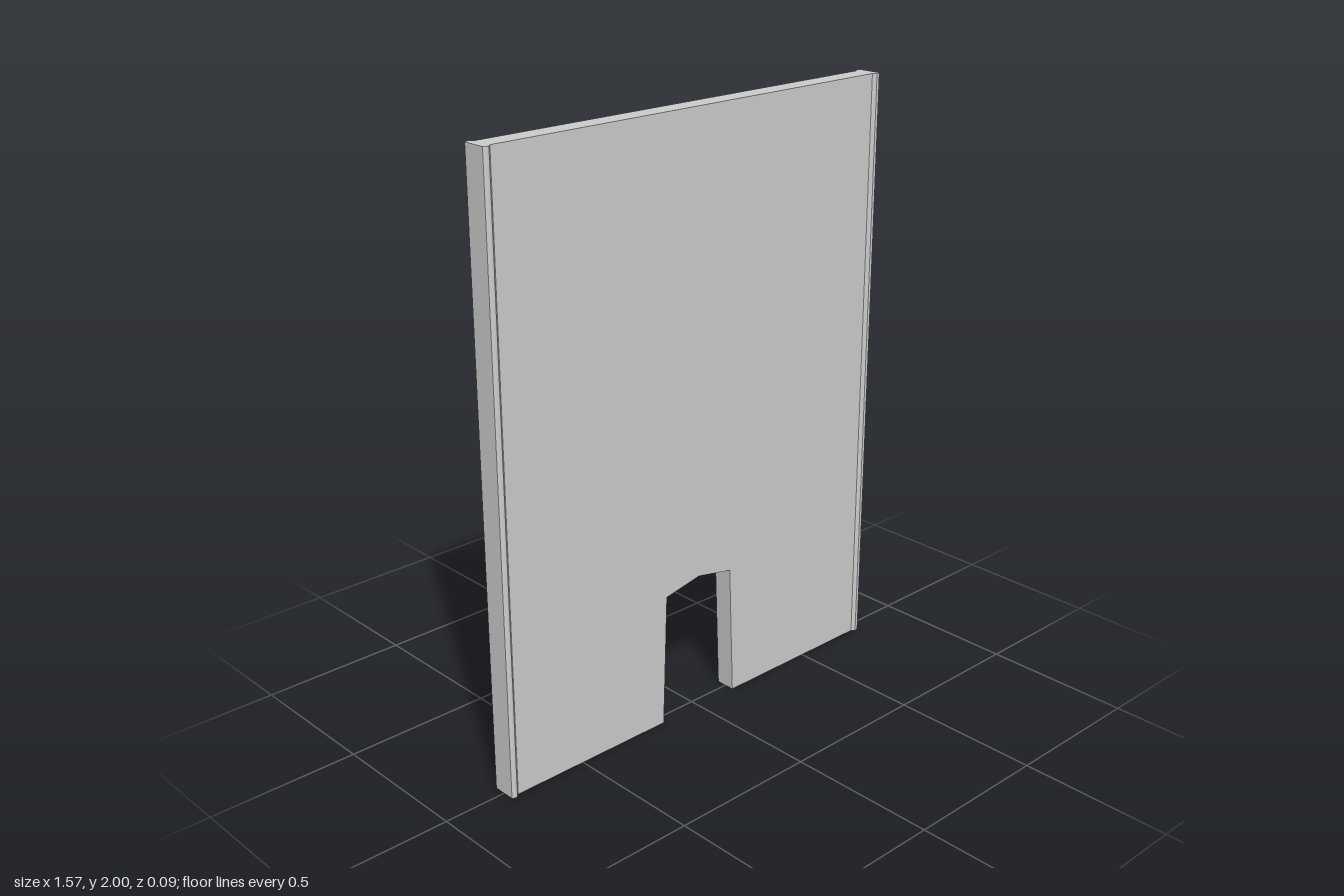
import * as THREE from 'three';

const HEIGHT = 2;
const PANEL_X = 0.757; // half width of the flat panel
const PANEL_Z = 0.034; // half thickness of the flat panel

const shapeFrom = (points) => new THREE.Shape(points.map(([x, y]) => new THREE.Vector2(x, y)));

export function createModel() {
  const group = new THREE.Group();
  const material = new THREE.MeshStandardMaterial({ color: 0xcccccc, flatShading: true });

  const add = (name, geometry) => {
    const mesh = new THREE.Mesh(geometry, material);
    mesh.name = name;
    group.add(mesh);
  };

  // Flat wall panel with a tapered, peaked doorway cut from its lower edge
  const outline = shapeFrom([
    [-PANEL_X, 0], [-0.157, 0], [-0.14, 0.453], [0, 0.48], [0.14, 0.453], [0.157, 0],
    [PANEL_X, 0], [PANEL_X, HEIGHT], [-PANEL_X, HEIGHT],
  ]);
  const panel = new THREE.ExtrudeGeometry(outline, { depth: 2 * PANEL_Z, bevelEnabled: false });
  panel.translate(0, 0, -PANEL_Z);
  add('wallPanel', panel);

  // Thickened edge strips with chamfered ridges, extruded upwards
  for (const side of [1, -1]) {
    const profile = shapeFrom([
      [PANEL_X, -PANEL_Z], [0.768, -0.044], [0.775, -0.044], [0.785, -0.039],
      [0.785, 0.039], [0.775, 0.044], [0.768, 0.044], [PANEL_X, PANEL_Z],
    ].map(([x, z]) => [side * x, z]));
    const strip = new THREE.ExtrudeGeometry(profile, { depth: HEIGHT, bevelEnabled: false });
    strip.rotateX(-Math.PI / 2);
    add(side > 0 ? 'leftEdgeStrip' : 'rightEdgeStrip', strip);
  }

  return group;
}
